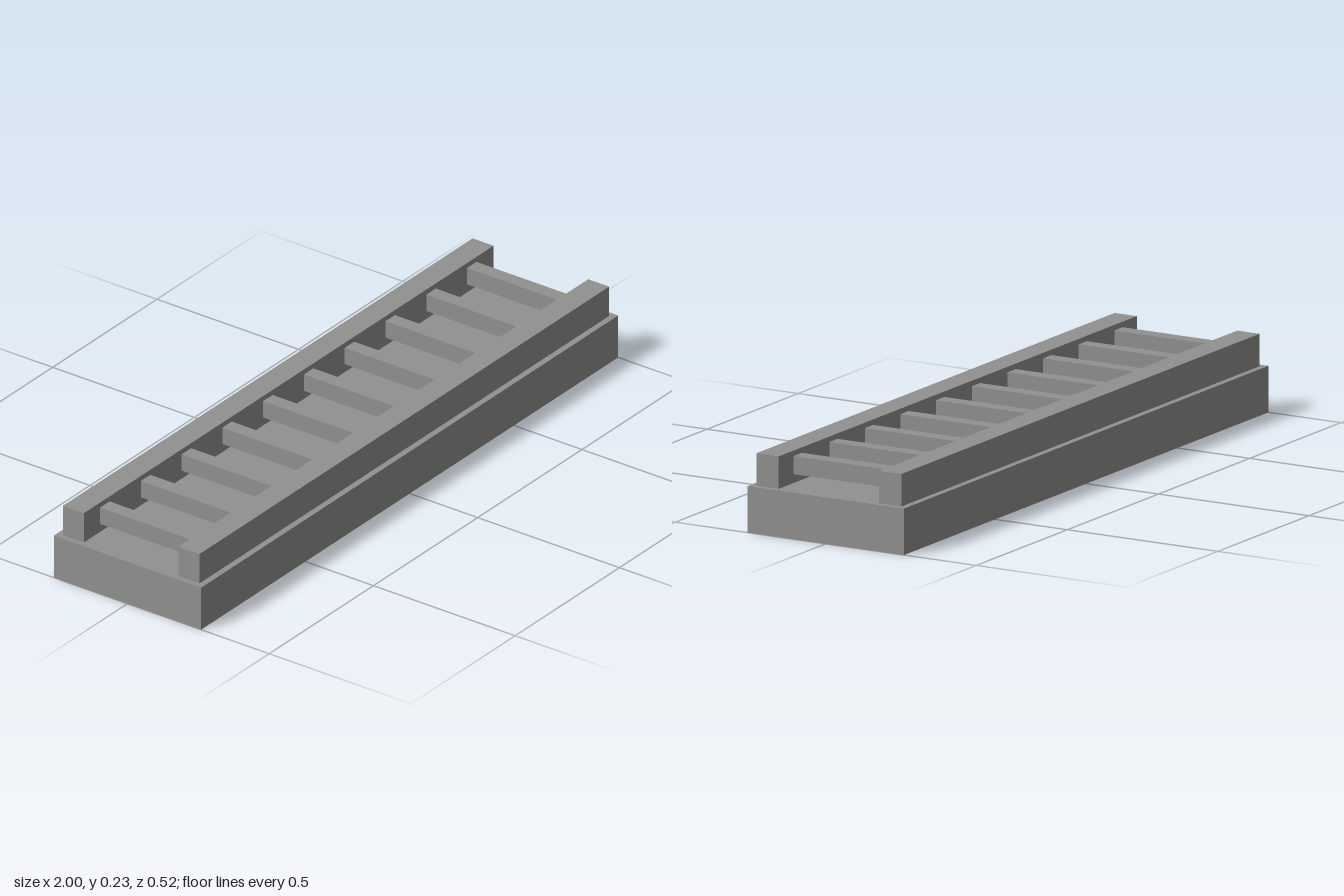
import * as THREE from 'three';

export function createModel() {
  const group = new THREE.Group();
  const grey = new THREE.MeshStandardMaterial({ color: 0x919290 });
  grey.name = 'stone grey';

  // Box from its size, centre x and z, and the height of its underside
  const addBox = (name, w, h, d, x, bottom, z) => {
    const mesh = new THREE.Mesh(new THREE.BoxGeometry(w, h, d), grey);
    mesh.name = name;
    mesh.position.set(x, bottom + h / 2, z);
    group.add(mesh);
  };

  // Solid slab the ladder rests on
  addBox('base', 2, 0.136, 0.52, 0, 0, 0);

  // Long side rails
  addBox('frontRail', 1.965, 0.095, 0.074, 0, 0.136, 0.204);
  addBox('backRail', 1.965, 0.095, 0.074, 0, 0.136, -0.204);

  // Evenly spaced rungs, raised clear of the base
  const rungs = 10;
  const spacing = 0.1955;
  for (let i = 0; i < rungs; i++) {
    const x = (i - (rungs - 1) / 2) * spacing - 0.002;
    addBox('rung' + (i + 1), 0.045, 0.053, 0.334, x, 0.162, 0);
  }

  return group;
}
